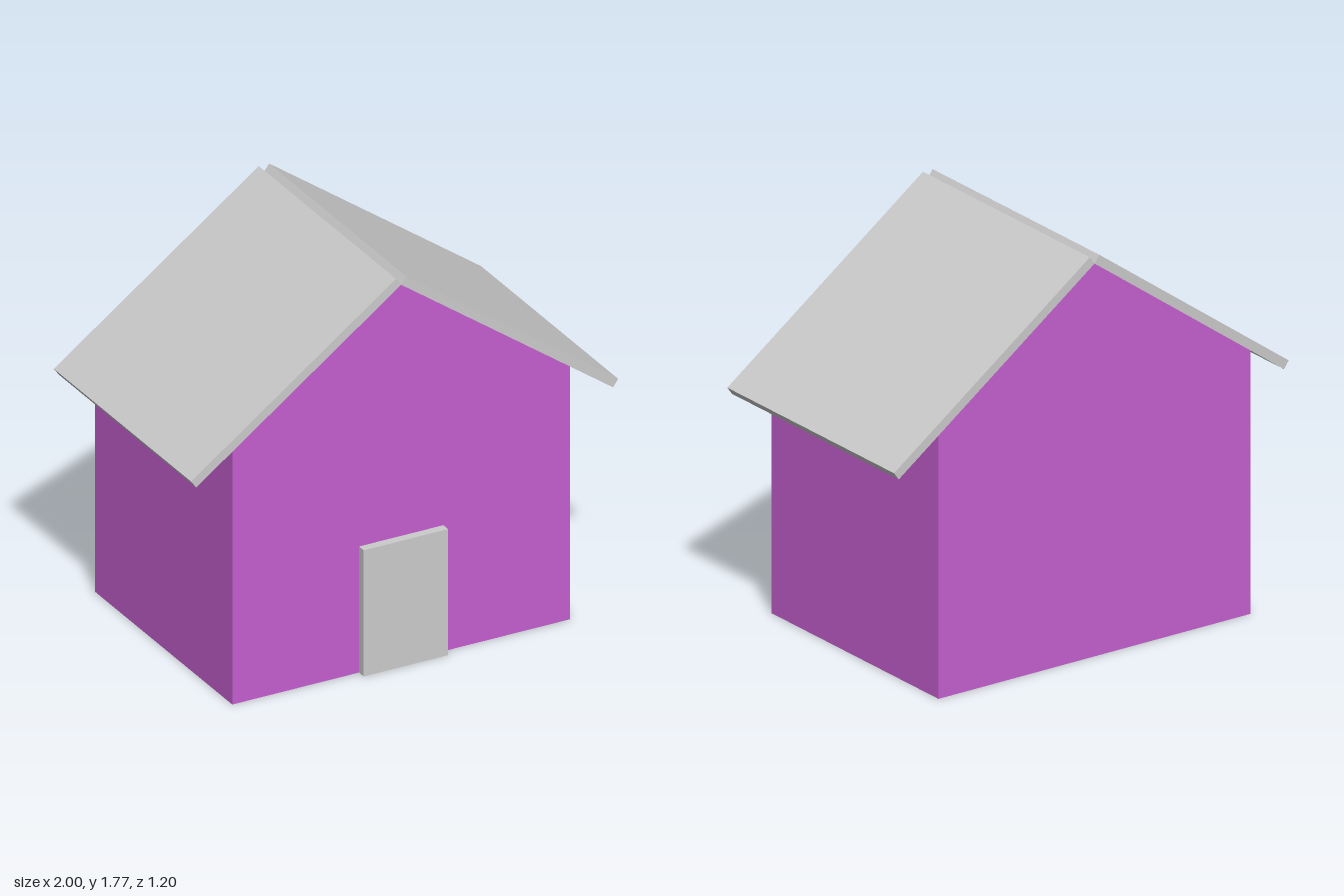
import * as THREE from 'three';

export function createModel() {
  const house = new THREE.Group();
  house.name = 'house';
  const grey = new THREE.MeshStandardMaterial({ color: 0xcccccc, flatShading: true });
  const purple = new THREE.MeshStandardMaterial({ color: 0xc55fd0, flatShading: true });

  const back = -0.6, front = 0.56, depth = front - back;
  const ridgeX = -0.016, ridgeY = 1.735, halfWidth = 0.791;
  const pitch = Math.atan(0.7235);
  const eaveY = ridgeY - halfWidth * Math.tan(pitch);

  const add = (name, geometry, material) => {
    const mesh = new THREE.Mesh(geometry, material);
    mesh.name = name;
    house.add(mesh);
    return mesh;
  };

  // Gabled body: pentagon extruded front to back
  const gable = new THREE.Shape([
    new THREE.Vector2(ridgeX - halfWidth, 0),
    new THREE.Vector2(ridgeX + halfWidth, 0),
    new THREE.Vector2(ridgeX + halfWidth, eaveY),
    new THREE.Vector2(ridgeX, ridgeY),
    new THREE.Vector2(ridgeX - halfWidth, eaveY),
  ]);
  const bodyGeometry = new THREE.ExtrudeGeometry(gable, { depth, bevelEnabled: false });
  add('walls', bodyGeometry.translate(0, 0, back), purple);

  // Roof slabs: each hinges on the ridge, leaving a V groove between them
  const thickness = 0.041;
  for (const [name, side, length] of [['leftRoof', 1, 1.225], ['rightRoof', -1, 1.185]]) {
    const slab = new THREE.BoxGeometry(length, thickness, depth);
    slab.translate(side * length / 2, thickness / 2, 0);
    const roof = add(name, slab, grey);
    roof.rotation.z = -side * pitch;
    roof.position.set(ridgeX, ridgeY, (front + back) / 2);
  }

  // Door panel standing proud of the front wall
  const door = add('door', new THREE.BoxGeometry(0.395, 0.58, 0.04), grey);
  door.position.set(ridgeX, 0.29, front + 0.02);

  return house;
}
